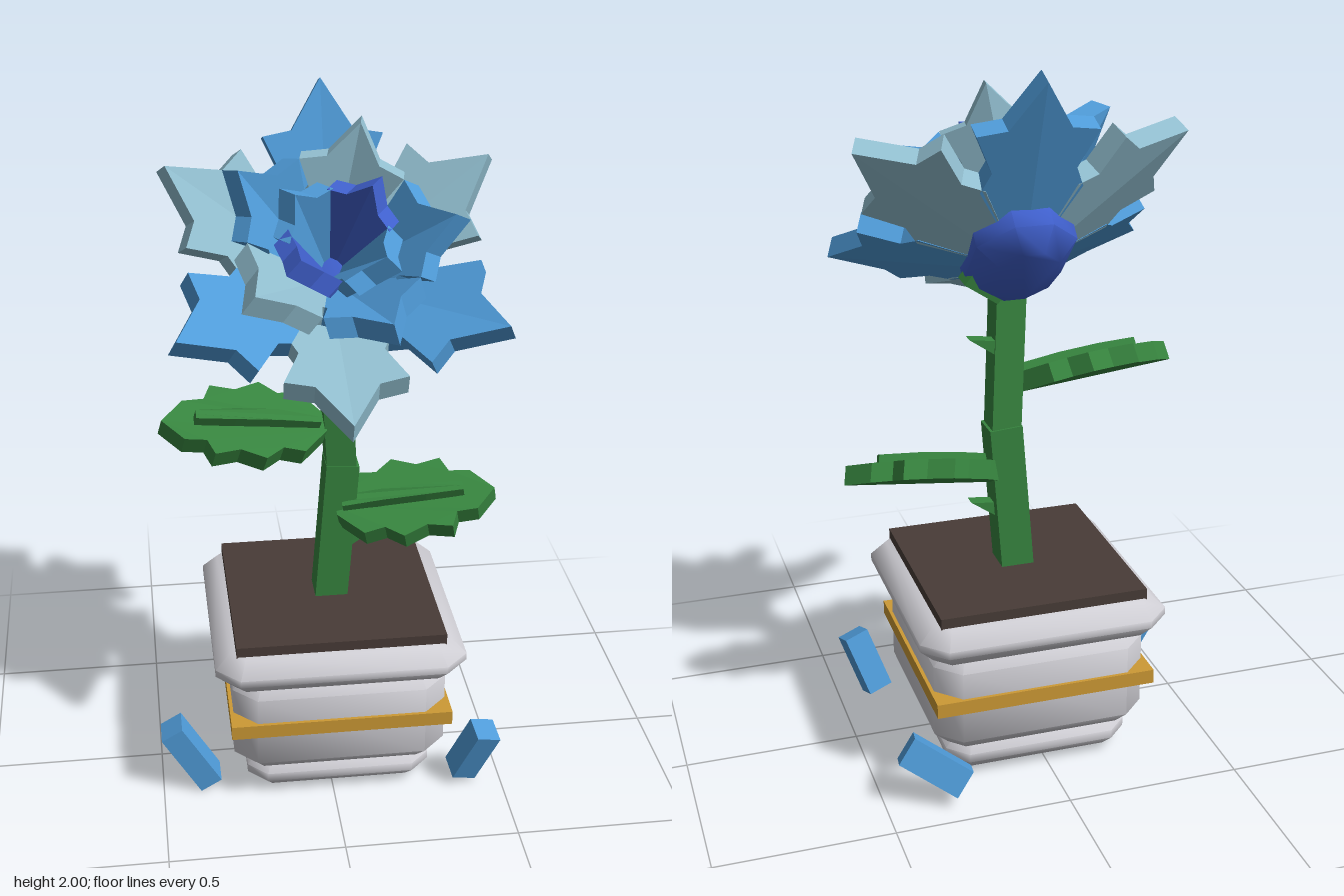
import * as THREE from 'three';
import { mergeGeometries, toCreasedNormals } from 'three/addons/utils/BufferGeometryUtils.js';

const material = (name, color) => {
  const m = new THREE.MeshStandardMaterial({ color });
  m.name = name;
  return m;
};

export function createModel() {
  const root = new THREE.Group();
  root.name = 'pottedFlower';
  const ceramic = material('ceramic', 0xcfced4);
  const gold = material('gold', 0xcd9a35);
  const soilBrown = material('soilBrown', 0x483c37);
  const green = material('leafGreen', 0x37853f);
  const blue = material('petalBlue', 0x4f9bd8);
  const pale = material('petalPaleBlue', 0x92bfd0);
  const royal = material('petalRoyalBlue', 0x3f5fcb);

  function add(parent, name, geometry, mat, x = 0, y = 0, z = 0) {
    const mesh = new THREE.Mesh(geometry, mat);
    mesh.name = name;
    mesh.position.set(x, y, z);
    parent.add(mesh);
    return mesh;
  }

  // Box with all edges chamfered; width along x, height along y, depth along z
  function chamferBox(w, h, d, c) {
    const a = w / 2 - c, b = h / 2 - c;
    const pts = [[a, -b + c], [a, b - c], [a - c, b], [-a + c, b], [-a, b - c], [-a, -b + c], [-a + c, -b], [a - c, -b]];
    const geo = new THREE.ExtrudeGeometry(new THREE.Shape(pts.map(p => new THREE.Vector2(...p))), {
      depth: d - 2 * c, bevelEnabled: true, bevelSegments: 1, bevelSize: c, bevelThickness: c });
    geo.translate(0, 0, -d / 2 + c);
    return toCreasedNormals(geo, 0.9);
  }

  // Jagged, creased blade growing along +y, facing +z
  function blade(outline, thickness, fold, bend) {
    const halves = [1, -1].map(side => {
      const shape = new THREE.Shape(outline.map(([u, v]) => new THREE.Vector2(v * side, u)));
      return new THREE.ExtrudeGeometry(shape, { depth: thickness, bevelEnabled: false });
    });
    const geo = mergeGeometries(halves);
    const p = geo.attributes.position;
    for (let i = 0; i < p.count; i++) {
      const u = p.getY(i);
      p.setZ(i, p.getZ(i) - thickness / 2 + fold * Math.abs(p.getX(i)) + bend * u * u);
    }
    geo.computeVertexNormals();
    return geo;
  }

  // Straight bar between two points
  function bar(parent, name, from, to, w, d, mat) {
    const a = new THREE.Vector3(...from), b = new THREE.Vector3(...to);
    const dir = b.clone().sub(a);
    const mesh = add(parent, name, new THREE.BoxGeometry(w, dir.length(), d), mat);
    mesh.position.copy(a).add(b).multiplyScalar(0.5);
    mesh.quaternion.setFromUnitVectors(new THREE.Vector3(0, 1, 0), dir.normalize());
    return mesh;
  }

  // Pot
  const pot = new THREE.Group();
  pot.name = 'pot';
  pot.position.set(0.02, 0, -0.035);
  root.add(pot);
  for (const [name, size, low, high, c] of [
    ['potFoot', 0.54, 0.02, 0.115, 0.035],
    ['potBody', 0.62, 0.11, 0.41, 0.042],
    ['potRim', 0.72, 0.41, 0.515, 0.042],
  ]) {
    const geo = chamferBox(size, size, high - low, c).rotateX(-Math.PI / 2);
    add(pot, name, geo, ceramic, 0, (low + high) / 2, 0);
  }
  add(pot, 'potBand', new THREE.BoxGeometry(0.64, 0.042, 0.64), gold, 0, 0.27, 0);
  add(pot, 'soil', new THREE.BoxGeometry(0.6, 0.035, 0.6), soilBrown, 0, 0.527, 0);

  // Stem
  bar(root, 'lowerStem', [0.02, 0.53, -0.035], [0.053, 0.97, -0.03], 0.095, 0.095, green);
  bar(root, 'upperStem', [0.052, 0.93, -0.032], [0.025, 1.38, 0.0], 0.085, 0.085, green);
  bar(root, 'stemNeck', [0.025, 1.34, 0.0], [0.025, 1.47, -0.07], 0.08, 0.08, green);
  bar(root, 'sepal', [0.06, 1.36, -0.04], [0.16, 1.43, -0.065], 0.05, 0.05, green);

  // Thorns
  const thornShape = new THREE.Shape([[0, 0], [0.08, 0.055], [0, 0.045]].map(p => new THREE.Vector2(...p)));
  const thornGeo = new THREE.ExtrudeGeometry(thornShape, { depth: 0.04, bevelEnabled: false });
  for (const y of [0.69, 1.18]) add(root, 'thorn', thornGeo, green, 0.07, y, -0.05);

  // Leaves with a raised midrib
  const leafOutline = [[0, 0], [0, 0.03], [0.07, 0.11], [0.13, 0.1], [0.18, 0.14], [0.25, 0.11],
    [0.32, 0.125], [0.34, 0.075], [0.4, 0.07], [0.46, 0]];
  const layDown = geo => geo.rotateX(-Math.PI / 2).rotateY(-Math.PI / 2);
  const leafGeo = layDown(blade(leafOutline, 0.055, 0, -0.22));
  const ribOutline = [[0.02, 0], [0.02, 0.02], [0.14, 0.02], [0.26, 0.02], [0.37, 0.015], [0.37, 0]];
  const ribGeo = layDown(blade(ribOutline, 0.03, 0, -0.22));
  for (const [name, x, y, turn] of [['leftLeaf', 0.04, 0.81, 0], ['rightLeaf', 0, 1.08, Math.PI]]) {
    const leaf = new THREE.Group();
    leaf.name = name;
    leaf.position.set(x, y, -0.01);
    leaf.rotation.set(0.42, turn, 0.2);
    add(leaf, 'leafBlade', leafGeo, green);
    add(leaf, 'leafRib', ribGeo, green, 0, 0.035, 0);
    root.add(leaf);
  }

  // Flower head, tilted up and forward
  const flower = new THREE.Group();
  flower.name = 'flowerHead';
  flower.position.set(0.025, 1.47, -0.11);
  flower.rotation.x = -Math.PI / 4;
  root.add(flower);
  add(flower, 'flowerBase', chamferBox(0.28, 0.36, 0.16, 0.055), royal, 0, 0, 0.025);

  // Petal rings: outline, lift from the ring plane, and angle with colour per petal
  const rings = [
    { name: 'outerPetal', lift: 24, fold: 0.08, thick: 0.06,
      outline: [[0.08, 0], [0.08, 0.05], [0.24, 0.14], [0.3, 0.115], [0.41, 0.165], [0.425, 0.085], [0.565, 0]],
      petals: [[0, blue], [60, pale], [120, blue], [180, pale], [240, blue], [300, pale]] },
    { name: 'middlePetal', lift: 48, fold: 0.3, thick: 0.06,
      outline: [[0.14, 0], [0.14, 0.05], [0.25, 0.12], [0.29, 0.1], [0.37, 0.14], [0.385, 0.07], [0.485, 0]],
      petals: [[15, pale], [87, blue], [159, blue], [231, pale], [303, blue]] },
    { name: 'innerPetal', lift: 65, fold: 0.3, thick: 0.055,
      outline: [[0.12, 0], [0.12, 0.04], [0.22, 0.08], [0.25, 0.065], [0.33, 0.1], [0.34, 0.05], [0.4, 0]],
      petals: [[40, royal], [130, blue], [230, royal], [310, blue]] },
  ];
  for (const ring of rings) {
    const geo = blade(ring.outline, ring.thick, ring.fold, 0);
    for (const [angle, mat] of ring.petals) {
      const petal = add(flower, ring.name, geo, mat);
      petal.rotation.set(THREE.MathUtils.degToRad(ring.lift), 0, -THREE.MathUtils.degToRad(angle), 'ZXY');
    }
  }

  // Fallen petals beside the pot
  bar(root, 'fallenPetal', [-0.47, 0.212, 0.15], [-0.36, 0.025, 0.15], 0.07, 0.09, blue);
  bar(root, 'fallenPetal', [0.445, 0.205, 0.265], [0.385, 0.035, 0.215], 0.075, 0.075, blue);
  bar(root, 'fallenPetal', [0.28, 0.065, -0.405], [0.43, 0.165, -0.345], 0.085, 0.075, blue);
  return root;
}
